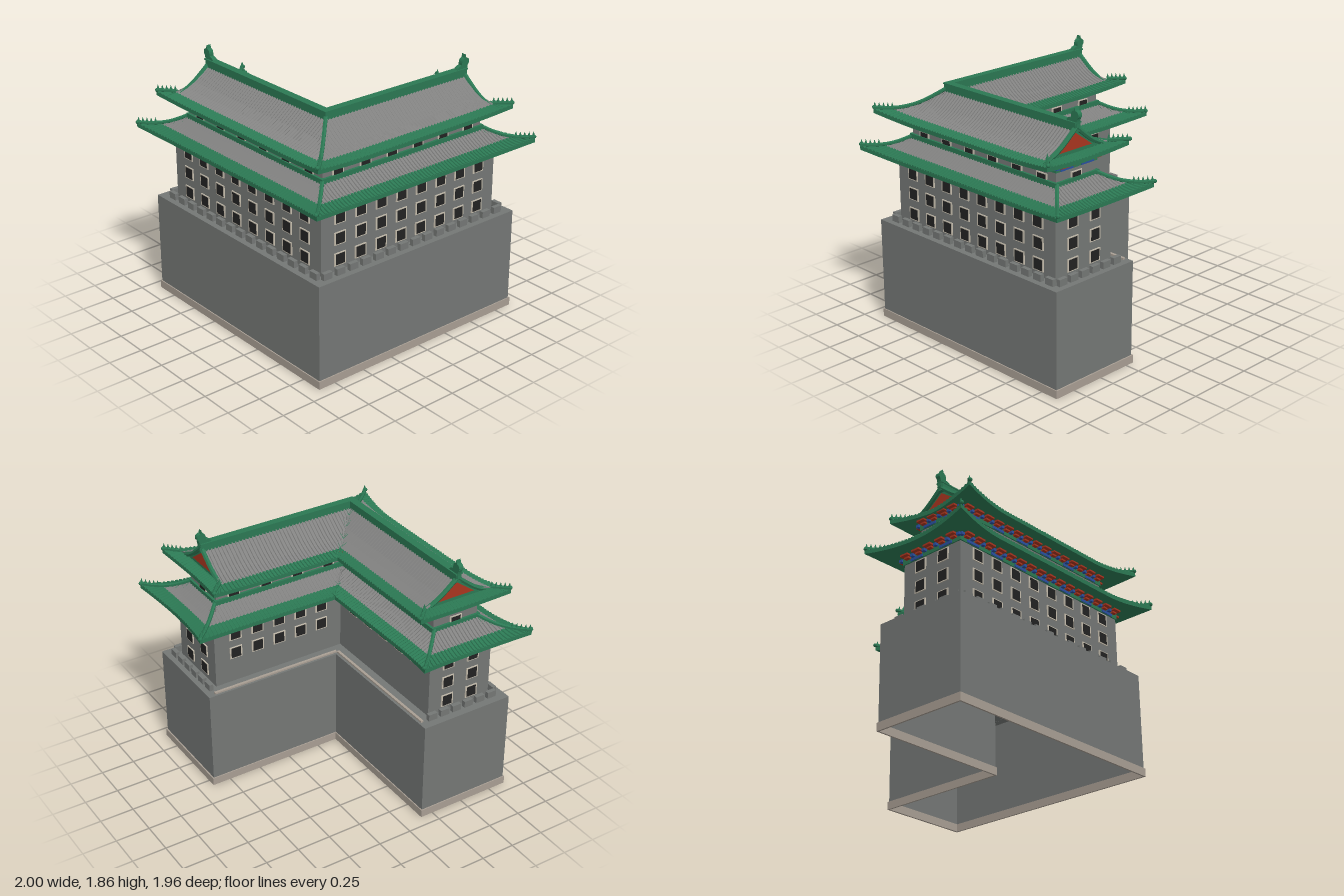
import * as THREE from 'three';
import { mergeGeometries } from 'three/addons/utils/BufferGeometryUtils.js';

const mat = (name, color, double) => {
  const m = new THREE.MeshStandardMaterial({ color, side: double ? THREE.DoubleSide : THREE.FrontSide });
  m.name = name;
  return m;
};
const brick = mat('grey brick', 0x747775, true), tile = mat('grey tile', 0x828281, true);
const green = mat('green glaze', 0x2b7853, true), stone = mat('pale stone', 0xa89e93);
const frameTan = mat('window frame', 0xc4bcac), dark = mat('window opening', 0x222222);
const red = mat('red paint', 0xa8351f, true), blue = mat('blue paint', 0x2a509f);

// Point where the two ridges meet; both wings are measured from here
const CX = 0.55, CZ = 0.52;
// Axes of each facade: s runs along the wing, d points out of the facade
const F = {
  aOut: { s: [-1, 0], d: [0, 1] }, aIn: { s: [-1, 0], d: [0, -1] }, aEnd: { s: [0, 1], d: [-1, 0] },
  bOut: { s: [0, -1], d: [1, 0] }, bIn: { s: [0, -1], d: [-1, 0] }, bEnd: { s: [1, 0], d: [0, -1] },
};
const at = (f, s, y, d) => new THREE.Vector3(CX + f.s[0] * s + f.d[0] * d, y, CZ + f.s[1] * s + f.d[1] * d);

// The six facades of an L with half-width w and wing lengths la, lb
const facades = (w, la, lb) => [
  { f: F.aOut, s0: -w, s1: la, d: w, kind: 'out' }, { f: F.bOut, s0: -w, s1: lb, d: w, kind: 'out' },
  { f: F.aIn, s0: w, s1: la, d: w, kind: 'in' }, { f: F.bIn, s0: w, s1: lb, d: w, kind: 'in' },
  { f: F.aEnd, s0: -w, s1: w, d: la, kind: 'end' }, { f: F.bEnd, s0: -w, s1: w, d: lb, kind: 'end' },
];
const lPoints = (w, la, lb) => [
  [CX - la, CZ + w], [CX + w, CZ + w], [CX + w, CZ - lb], [CX - w, CZ - lb], [CX - w, CZ - w], [CX - la, CZ - w],
].map(([x, z]) => new THREE.Vector2(x, -z));

export function createModel() {
  const root = new THREE.Group();
  root.name = 'cornerTower';
  const parts = new Map();
  const put = (name, material, geo) => {
    const g = geo.index ? geo.toNonIndexed() : geo;
    g.deleteAttribute('uv');
    g.computeVertexNormals();
    if (!parts.has(name)) parts.set(name, { material, list: [] });
    parts.get(name).list.push(g);
  };
  const box = (name, m, f, s, y, d, ls, h, ld) => {
    const p = at(f, s, y, d), alongX = f.s[0] !== 0;
    put(name, m, new THREE.BoxGeometry(alongX ? ls : ld, h, alongX ? ld : ls).translate(p.x, p.y, p.z));
  };
  const lBlock = (name, m, dims, y0, y1, hole) => {
    const shape = new THREE.Shape(lPoints(...dims));
    if (hole) shape.holes.push(new THREE.Path(lPoints(...hole)));
    put(name, m, new THREE.ExtrudeGeometry(shape, { depth: y1 - y0, bevelEnabled: false }).rotateX(-Math.PI / 2).translate(0, y0, 0));
  };
  // n positions centred on a facade
  const spread = (fc, n, k, fn) => {
    const step = (fc.s1 - fc.s0) / n * k, mid = (fc.s0 + fc.s1) / 2;
    for (let i = 0; i < n; i++) fn(mid + (i - (n - 1) / 2) * step, i);
  };

  // Base: walls open underneath, flat top, stone plinth
  const base = [0.357, 1.46, 1.40];
  const loop = lPoints(...base), wall = [];
  loop.forEach((p, i) => {
    const q = loop[(i + 1) % loop.length];
    const a = [p.x, 0.0, -p.y], b = [q.x, 0.0, -q.y], c = [q.x, 0.75, -q.y], e = [p.x, 0.75, -p.y];
    wall.push(...a, ...b, ...c, ...a, ...c, ...e);
  });
  put('baseWalls', brick, new THREE.BufferGeometry().setAttribute('position', new THREE.Float32BufferAttribute(wall, 3)));
  put('baseTop', brick, new THREE.ShapeGeometry(new THREE.Shape(loop)).rotateX(-Math.PI / 2).translate(0, 0.75, 0));
  lBlock('plinth', stone, [0.365, 1.468, 1.41], 0, 0.058, [0.352, 1.455, 1.395]);

  // Battlements on the outer sides, low kerb on the inner sides
  for (const fc of facades(0.3, 1.39, 1.345)) {
    if (fc.kind === 'in') box('kerb', stone, fc.f, (fc.s0 + fc.s1) / 2 + 0.02, 0.756, fc.d + 0.03, fc.s1 - fc.s0 - 0.04, 0.012, 0.02);
    else spread(fc, fc.kind === 'out' ? 15 : 6, 1, (s) => box('merlons', brick, fc.f, s, 0.773, fc.d, 0.07, 0.05, 0.03));
  }

  // Storeys
  const lower = [0.255, 1.35, 1.29], upper = [0.18, 1.27, 1.22];
  lBlock('lowerStorey', brick, lower, 0.75, 1.24);
  lBlock('upperStorey', brick, upper, 1.24, 1.51);
  const windowAt = (f, s, y, d, w, h) => {
    box('windowFrames', frameTan, f, s, y, d + 0.003, w + 0.022, h + 0.014, 0.008);
    box('windows', dark, f, s, y, d + 0.005, w, h, 0.008);
  };
  for (const fc of facades(...lower)) {
    const [n, k] = { out: [8, 0.915], in: [5, 0.85], end: [2, 0.8] }[fc.kind];
    const rows = fc.kind !== 'in' ? 3 : fc.f === F.bIn ? 2 : 1;
    for (let r = 0; r < rows; r++) spread(fc, n, k, (s) => windowAt(fc.f, s, 1.132 - r * 0.149, fc.d, 0.075, 0.076));
  }
  for (const fc of facades(...upper)) {
    const n = { out: 6, in: 4, end: 1 }[fc.kind];
    spread(fc, n, 0.985, (s) => windowAt(fc.f, s, 1.405, fc.d, 0.075, 0.04));
  }

  // Painted beam and brackets under each eave
  const brackets = ([w, la, lb], y) => {
    lBlock('paintedBeams', green, [w + 0.008, la + 0.008, lb + 0.008], y, y + 0.055);
    for (const fc of facades(w + 0.008, la + 0.008, lb + 0.008)) {
      const len = fc.s1 - fc.s0;
      spread(fc, Math.max(2, Math.round(len / 0.23)), 1, (s) => box('beamPanels', blue, fc.f, s, y + 0.012, fc.d + 0.002, 0.11, 0.019, 0.008));
      spread(fc, Math.round(len / 0.1), 1, (s) => {
        box('redBrackets', red, fc.f, s, y + 0.032, fc.d + 0.012, 0.04, 0.013, 0.025);
        box('redBrackets', red, fc.f, s, y + 0.044, fc.d + 0.025, 0.066, 0.013, 0.05);
        box('blueBrackets', blue, fc.f, s + 0.05, y + 0.036, fc.d + 0.012, 0.026, 0.02, 0.025);
      });
    }
  };
  brackets(lower, 1.187);
  brackets(upper, 1.457);

  // Roof: profile rows are [distance from ridge, height]; corners flare out and lift
  const roof = (name, { rows, greenFrom, eave, soffit, flare, lift, ends, gables, pitch = 0.027 }) => {
    const d0 = rows[0][0], yE = rows[rows.length - 1][1];
    const weight = (d) => ((d - d0) / (eave - d0)) ** 2;
    const all = rows.map(([d, y]) => ({ d, y, w: weight(d), bump: 0.008 }));
    all.push({ d: eave, y: yE - 0.026, w: 1, bump: 0 }, { d: soffit, y: yE - 0.014, w: 0, bump: 0 });
    const R = 0.38, near = (dist) => Math.max(0, 1 - dist / R) ** 2;

    const panel = (f, start, end, convex0, dOff, first) => {
      const list = all.slice(first), lo = Math.min(...list.map((r) => start(r.d))), hi = Math.max(...list.map((r) => end(r.d)));
      const cols = [lo];
      for (let k = Math.floor(lo / pitch); k * pitch < hi; k++)
        for (const t of [0, 0.45, 0.55, 0.9]) if ((k + t) * pitch > lo && (k + t) * pitch < hi) cols.push((k + t) * pitch);
      cols.push(hi);
      const clampS = (s, r) => Math.min(Math.max(s, start(r.d)), end(r.d));
      const point = (s, r, i) => {
        const c0 = convex0 ? near(s - start(eave)) : 0, c1 = near(end(eave) - s), c = Math.max(c0, c1) * r.w;
        return at(f, s + (c1 - c0) * r.w * flare, r.y + c * lift + (i % 4 > 1 ? r.bump : 0), r.d + dOff + c * flare);
      };
      const up = f.s[1] * f.d[0] - f.s[0] * f.d[1] > 0;
      const out = { [name + 'Tiles']: [], [name + 'Eaves']: [] };
      for (let j = 0; j < list.length - 1; j++) {
        const r = list[j], q = list[j + 1], target = out[name + (j + first < greenFrom ? 'Tiles' : 'Eaves')];
        for (let i = 0; i < cols.length - 1; i++) {
          const [s0, s1, t0, t1] = [clampS(cols[i], r), clampS(cols[i + 1], r), clampS(cols[i], q), clampS(cols[i + 1], q)];
          const a = point(s0, r, i), b = point(s1, r, i + 1), c = point(t0, q, i), e = point(t1, q, i + 1);
          if (s1 > s0) for (const v of up ? [a, b, c] : [a, c, b]) target.push(v.x, v.y, v.z);
          if (t1 > t0) for (const v of up ? [b, e, c] : [b, c, e]) target.push(v.x, v.y, v.z);
        }
      }
      for (const [key, pos] of Object.entries(out))
        if (pos.length) put(key, key.endsWith('Tiles') ? tile : green, new THREE.BufferGeometry().setAttribute('position', new THREE.Float32BufferAttribute(pos, 3)));
    };

    // Hip ridge with small beasts and a knob at the tip
    const hip = (place, from) => {
      const pts = rows.filter(([d]) => d >= from - 1e-6).map(([d, y]) => {
        const c = near(eave - d) * weight(d);
        return place(d + c * flare, y + c * lift + 0.014);
      });
      const curve = new THREE.CatmullRomCurve3(pts);
      put(name + 'Hips', green, new THREE.TubeGeometry(curve, 16, 0.014, 6));
      const len = curve.getLength();
      for (let i = 0; i < 5; i++) {
        const p = curve.getPointAt(Math.max(0, 1 - (0.012 + i * 0.03) / len));
        put(name + 'Beasts', green, new THREE.ConeGeometry(0.011, 0.034, 5).translate(p.x, p.y + 0.024, p.z));
      }
      const tip = curve.getPointAt(1);
      put(name + 'Beasts', green, new THREE.SphereGeometry(0.014, 8, 6).translate(tip.x - Math.sign(tip.x) * 0.008, tip.y, tip.z));
    };

    hip((d, y) => at(F.aOut, -d, y, d), d0);
    ['a', 'b'].forEach((wing, i) => {
      const U0 = ends[i] - eave, g = gables ? gables[i] : 0;
      const stop = (d) => Math.max(g, U0 + d), first = gables ? rows.findIndex(([d]) => U0 + d >= g - 1e-6) : 0;
      panel(F[wing + 'Out'], (d) => -d, stop, true, 0, 0);
      panel(F[wing + 'In'], (d) => d, stop, false, 0, 0);
      panel(F[wing + 'End'], (d) => -d, (d) => d, true, U0, first);
      for (const side of [-1, 1]) hip((d, y) => at(F[wing + 'End'], side * d, y, U0 + d), rows[first][0]);
    });
  };

  roof('lowerRoof', {
    rows: [[0.175, 1.368], [0.23, 1.332], [0.275, 1.306], [0.31, 1.29], [0.35, 1.274], [0.39, 1.262]],
    greenFrom: 3, eave: 0.39, soffit: 0.25, flare: 0.053, lift: 0.035, ends: [1.49, 1.44],
  });
  const upperRows = [[0, 1.712], [0.06, 1.662], [0.13, 1.608], [0.19, 1.573], [0.255, 1.545], [0.325, 1.525]];
  const gables = [1.27, 1.22];
  roof('upperRoof', {
    rows: upperRows, greenFrom: 4, eave: 0.325, soffit: 0.18, flare: 0.045, lift: 0.04, ends: [1.34, 1.29], gables,
  });
  lBlock('lowerRoofTopRidge', green, [0.197, 1.287, 1.237], 1.355, 1.393);

  // Main ridges, gables and ridge-end ornaments
  const slope = upperRows.slice(0, 5);
  const gableShape = new THREE.Shape([...slope.map(([d, y]) => new THREE.Vector2(d, y)), ...slope.slice(1).reverse().map(([d, y]) => new THREE.Vector2(-d, y))]);
  const redShape = new THREE.Shape([[-0.15, 1.572], [0.15, 1.572], [0, 1.68]].map((p) => new THREE.Vector2(...p)));
  const orn = new THREE.Shape();
  orn.moveTo(-0.07, 0);
  orn.quadraticCurveTo(-0.06, 0.03, -0.025, 0.03);
  orn.quadraticCurveTo(-0.03, 0.075, 0.0, 0.08);
  orn.lineTo(0.005, 0.105);
  orn.lineTo(0.012, 0.08);
  orn.quadraticCurveTo(0.045, 0.075, 0.04, 0.04);
  orn.quadraticCurveTo(0.02, 0.03, 0.025, -0.03);
  orn.lineTo(-0.04, -0.03);
  [[F.aOut, F.aEnd, -Math.PI / 2, Math.PI], [F.bOut, F.bEnd, Math.PI, Math.PI / 2]].forEach(([side, end, turn, ornTurn], i) => {
    const g = gables[i];
    box('mainRidges', green, side, (g - 0.01) / 2, 1.722, 0, g + 0.035, 0.066, 0.046);
    box('mainRidgeCaps', green, side, (g - 0.01) / 2, 1.751, 0, g + 0.045, 0.01, 0.056);
    for (const [name, m, shape, inset] of [['gableWalls', green, gableShape, 0.012], ['gablePanels', red, redShape, 0.005]]) {
      const p = at(end, 0, 0, g - inset);
      put(name, m, new THREE.ShapeGeometry(shape).rotateY(turn).translate(p.x, 0, p.z));
    }
    for (const k of [-1, 1]) {
      const curve = new THREE.CatmullRomCurve3(slope.map(([d, y]) => at(end, k * d, y + 0.008, g)));
      put('gableVerges', green, new THREE.TubeGeometry(curve, 12, 0.017, 6));
    }
    const p = at(end, 0, 1.75, g - 0.005);
    put('ridgeOrnaments', green, new THREE.ExtrudeGeometry(orn, { depth: 0.034, bevelEnabled: false, curveSegments: 5 })
      .translate(0, 0, -0.017).rotateY(ornTurn).translate(p.x, p.y, p.z));
  });

  for (const [name, { material, list }] of parts) {
    const mesh = new THREE.Mesh(mergeGeometries(list), material);
    mesh.name = name;
    root.add(mesh);
  }
  return root;
}
